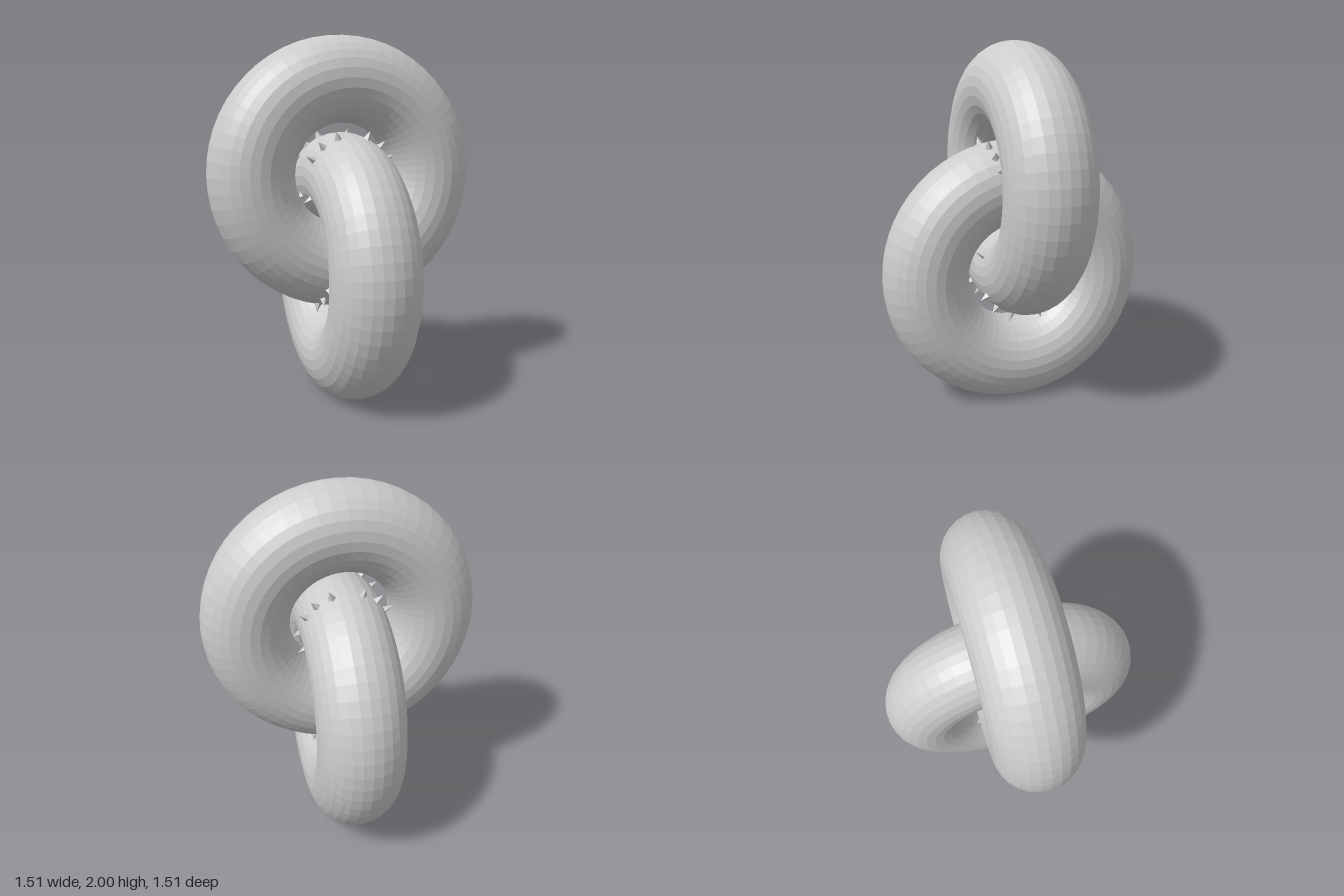
import * as THREE from 'three';

const RING = 0.518, TUBE = 0.237, UPPER_Y = 1.245, LOWER_Y = 0.72;
const material = new THREE.MeshStandardMaterial({ color: 0xcccccc, flatShading: true });

function ring(name, y, turn) {
  const geometry = new THREE.TorusGeometry(RING, TUBE, 28, 56);
  geometry.rotateY(turn);
  geometry.translate(0, y, 0);
  // Flatten whatever would dip below the ground
  const p = geometry.attributes.position;
  for (let i = 0; i < p.count; i++) p.setY(i, Math.max(0, p.getY(i)));
  geometry.computeVertexNormals();
  const mesh = new THREE.Mesh(geometry, material);
  mesh.name = name;
  return mesh;
}

// Small pointed spacers on the tube of a ring lying in the yz plane, around its top
function spacers(name) {
  const group = new THREE.Group();
  group.name = name;
  const up = new THREE.Vector3(0, 1, 0);
  const cone = new THREE.ConeGeometry(0.026, 0.06, 4);
  for (const z of [-0.12, 0.12]) {
    const a = Math.asin(z / RING);
    const radial = new THREE.Vector3(0, Math.cos(a), Math.sin(a));
    for (const degrees of [-28, 28, 48, 70, 110, 132, 152, 208]) {
      const t = THREE.MathUtils.degToRad(degrees);
      const out = radial.clone().multiplyScalar(Math.sin(t));
      out.x = Math.cos(t);
      const spike = new THREE.Mesh(cone, material);
      spike.name = 'spacer';
      spike.position.copy(radial).multiplyScalar(RING).addScaledVector(out, TUBE + 0.018);
      spike.quaternion.setFromUnitVectors(up, out);
      group.add(spike);
    }
  }
  return group;
}

export function createModel() {
  const model = new THREE.Group();
  model.name = 'linkedRings';
  model.add(ring('upperRing', UPPER_Y, 0), ring('lowerRing', LOWER_Y, Math.PI / 2));

  const upperSpacers = spacers('upperHoleSpacers');
  upperSpacers.position.y = LOWER_Y;

  // Half turn about the x = z diagonal swaps the two rings
  const lowerSpacers = spacers('lowerHoleSpacers');
  lowerSpacers.quaternion.setFromAxisAngle(new THREE.Vector3(1, 0, 1).normalize(), Math.PI);
  lowerSpacers.position.y = UPPER_Y;

  model.add(upperSpacers, lowerSpacers);
  return model;
}
